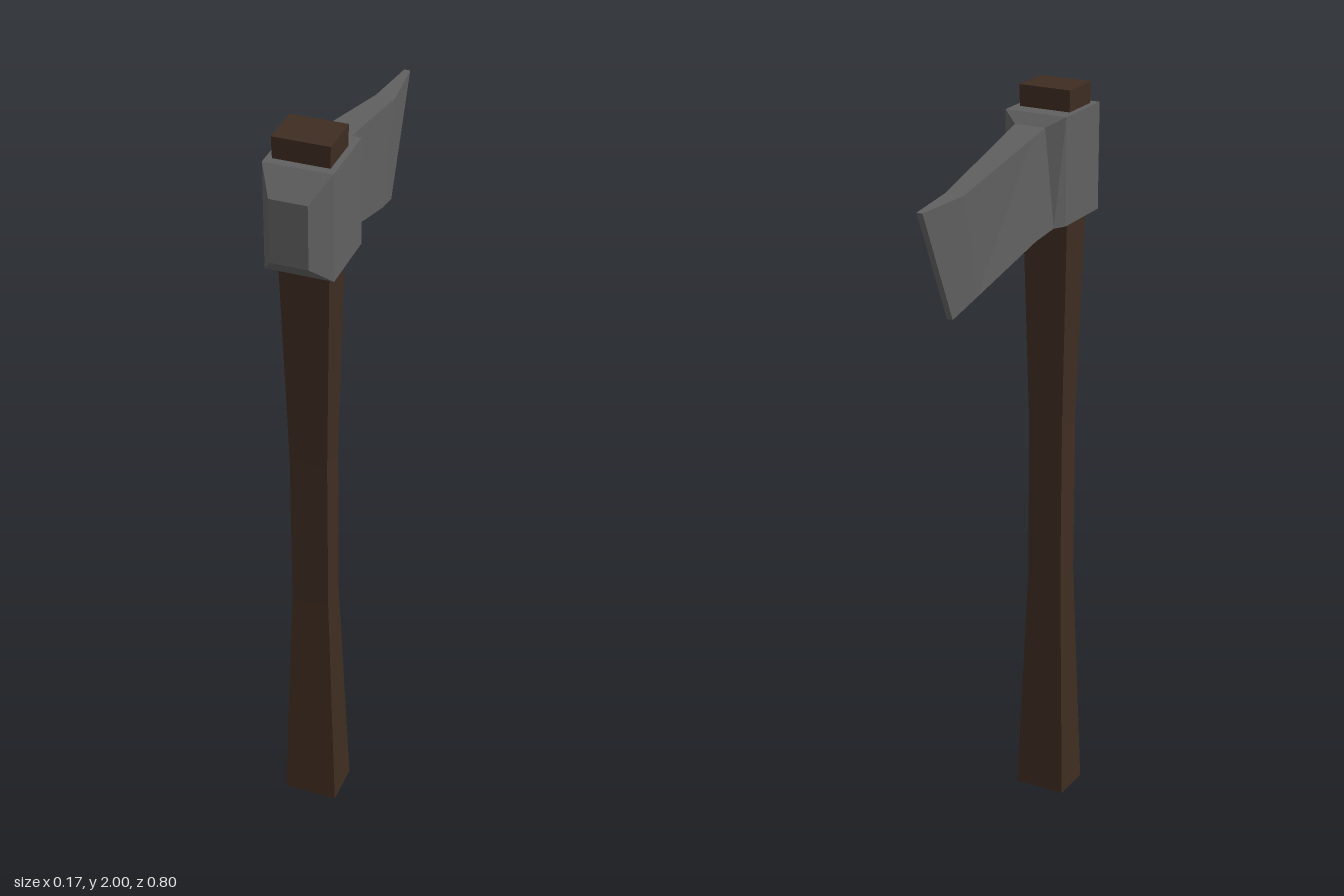
import * as THREE from 'three';

// Skins a list of four-cornered rings, each wound counter-clockwise seen from the first end.
function loft(rings) {
  const pos = [];
  const tri = (a, b, c) => pos.push(...a, ...b, ...c);
  const first = rings[0], last = rings[rings.length - 1];
  tri(first[0], first[1], first[2]);
  tri(first[0], first[2], first[3]);
  for (let i = 0; i < rings.length - 1; i++) {
    const a = rings[i], b = rings[i + 1];
    for (let j = 0; j < 4; j++) {
      const k = (j + 1) % 4;
      tri(a[j], b[k], a[k]);
      tri(a[j], b[j], b[k]);
    }
  }
  tri(last[0], last[2], last[1]);
  tri(last[0], last[3], last[2]);
  const geometry = new THREE.BufferGeometry();
  geometry.setAttribute('position', new THREE.Float32BufferAttribute(pos, 3));
  geometry.computeVertexNormals();
  return geometry;
}

export function createModel() {
  const wood = new THREE.MeshStandardMaterial({ color: 0x3f2d22 });
  wood.name = 'dark wood';
  const steel = new THREE.MeshStandardMaterial({ color: 0x606060 });
  steel.name = 'grey steel';
  const group = new THREE.Group();
  group.name = 'axe';
  const add = (name, rings, material) => {
    const mesh = new THREE.Mesh(loft(rings), material);
    mesh.name = name;
    group.add(mesh);
  };

  // Handle: rectangular shaft, waisted in the middle [y, half x, half z]
  const zc = 0.262;
  add('handle', [
    [2, 0.071, 0.057], [1.1, 0.049, 0.038], [0.66, 0.049, 0.038], [0, 0.071, 0.057],
  ].map(([y, x, z]) => [[-x, y, zc + z], [x, y, zc + z], [x, y, zc - z], [-x, y, zc - z]]), wood);

  // Head rings: [z, y, half x] of the top edge, then [z, y, left x, right x] of the bottom edge
  const ring = ([tz, ty, tx], [bz, by, bl, br = -bl]) =>
    [[bl, by, bz], [br, by, bz], [tx, ty, tz], [-tx, ty, tz]];
  const neck = ring([0.16, 1.945, 0.085], [0.16, 1.668, -0.085]);
  const root = ring([0.13, 1.92, 0.042], [0.13, 1.668, -0.068]);

  // Poll: block around the handle with a chamfered face
  add('poll', [
    ring([0.4, 1.89, 0.047], [0.4, 1.725, -0.047]),
    ring([0.34, 1.945, 0.085], [0.34, 1.668, -0.085]),
    neck, root,
  ], steel);

  // Blade: wedge that thins and drops toward the slanted cutting edge
  add('blade', [
    root,
    ring([0.07, 1.907, 0.039], [0.07, 1.65, -0.052, 0.032]),
    ring([-0.24, 1.84, 0.025], [-0.175, 1.57, -0.02]),
    ring([-0.4, 1.836, 0.008], [-0.268, 1.54, -0.008]),
  ], steel);

  return group;
}
